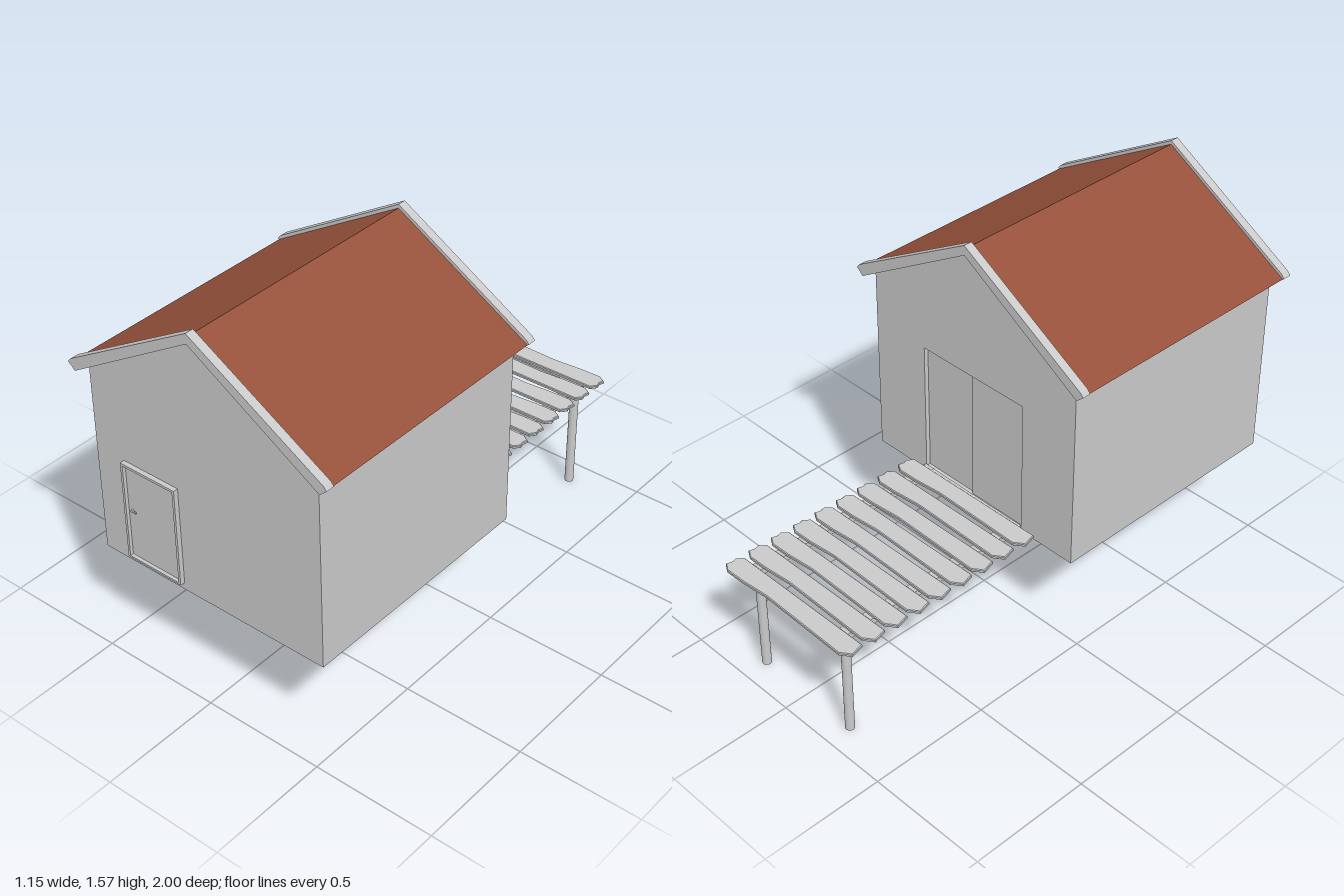
import * as THREE from 'three';

export function createModel() {
  const model = new THREE.Group();
  const grey = new THREE.MeshStandardMaterial({ color: 0xc9c9c9 });
  grey.name = 'light grey';
  const red = new THREE.MeshStandardMaterial({ color: 0x96513b });
  red.name = 'roof red';

  const add = (name, geometry, material = grey, parent = model) => {
    const mesh = new THREE.Mesh(geometry, material);
    mesh.name = name;
    parent.add(mesh);
    return mesh;
  };
  // Box given by its minimum and maximum corners
  const box = (name, x0, x1, y0, y1, z0, z1, parent = model) => {
    const g = new THREE.BoxGeometry(x1 - x0, y1 - y0, z1 - z0);
    g.translate((x0 + x1) / 2, (y0 + y1) / 2, (z0 + z1) / 2);
    return add(name, g, grey, parent);
  };
  const outline = (pts) => new THREE.Shape(pts.map(([x, y]) => new THREE.Vector2(x, y)));
  const slab = (shape, z0, z1) =>
    new THREE.ExtrudeGeometry(shape, { depth: z1 - z0, bevelEnabled: false }).translate(0, 0, z0);
  // Mirrors the right half of a gable profile (listed from apex outwards and back)
  const gable = (half) => outline([
    ...half, ...half.slice(1, -1).reverse().map(([x, y]) => [-x, y]),
  ]);
  const rect = (x0, x1, y0, y1) => outline([[x0, y0], [x1, y0], [x1, y1], [x0, y1]]);

  // House body; the rear skin has an opening for the sliding doors
  const wall = () => outline([[-0.51, 0.44], [0.51, 0.44], [0.51, 1.221], [0, 1.53], [-0.51, 1.221]]);
  add('houseBody', slab(wall(), -0.035, 0.965));
  const rear = wall();
  rear.holes.push(rect(-0.256, 0.253, 0.46, 1.005));
  add('rearWall', slab(rear, -0.06, -0.035));

  // Sliding doors set into the rear opening, one ahead of the other
  box('slidingDoorFixed', 0, 0.253, 0.46, 1.005, -0.042, -0.035);
  box('slidingDoorMoving', -0.256, 0.008, 0.46, 1.005, -0.052, -0.035);

  // Roof structure with a thin red covering
  add('roofDeck', slab(gable([[0, 1.548], [0.56, 1.218], [0.545, 1.2], [0, 1.53]]), -0.065, 0.967));
  add('roofCovering', slab(
    gable([[0, 1.555], [0.567, 1.222], [0.562, 1.217], [0, 1.548]]), -0.065, 0.967), red);

  // Barge boards on both gables
  const board = () => gable([[0, 1.57], [0.56, 1.241], [0.573, 1.226], [0.543, 1.199], [0, 1.53]]);
  add('frontBargeBoard', slab(board(), 0.965, 1));
  add('rearBargeBoard', slab(board(), -0.095, -0.06));

  // Front door with frame and lever handle
  const door = new THREE.Group();
  door.name = 'frontDoor';
  model.add(door);
  const frame = rect(-0.38, -0.125, 0.469, 0.88);
  frame.holes.push(rect(-0.37, -0.135, 0.477, 0.87));
  add('doorFrame', slab(frame, 0.965, 0.984), grey, door);
  box('doorPanel', -0.368, -0.137, 0.479, 0.868, 0.965, 0.972, door);
  const knob = new THREE.CylinderGeometry(0.005, 0.005, 0.012, 12).rotateX(Math.PI / 2);
  add('handleRose', knob, grey, door).position.set(-0.347, 0.684, 0.976);
  box('handleLever', -0.35, -0.327, 0.681, 0.687, 0.977, 0.982, door);

  // Deck frame and posts
  const deck = new THREE.Group();
  deck.name = 'deck';
  model.add(deck);
  for (const s of [-1, 1]) {
    const x = s * 0.235;
    box('deckJoist', x - 0.022, x + 0.022, 0.44, 0.467, -0.93, -0.06, deck);
    const post = new THREE.CylinderGeometry(0.018, 0.018, 0.442, 24);
    add('deckPost', post, grey, deck).position.set(x, 0.221, -0.896);
  }
  box('deckLedger', -0.215, 0.215, 0.44, 0.466, -0.085, -0.06, deck);
  box('deckEndBeam', -0.215, 0.215, 0.44, 0.466, -0.93, -0.905, deck);

  // Rough-hewn planks, all of one outline (second value points to the rear)
  const plank = outline([
    [-0.34, -0.045], [0.295, -0.04], [0.315, -0.015], [0.31, 0.005], [0.317, 0.028],
    [0.285, 0.047], [0.2, 0.045], [0.08, 0.034], [-0.315, 0.041], [-0.355, 0.012],
  ]);
  const plankGeometry = new THREE.ExtrudeGeometry(plank, {
    depth: 0.008, bevelEnabled: true, bevelThickness: 0.003, bevelSize: 0.003,
    bevelOffset: -0.003, bevelSegments: 1,
  }).rotateX(-Math.PI / 2);
  for (let i = 0; i < 9; i++) {
    add('deckPlank', plankGeometry, grey, deck).position.set(0, 0.469, -0.951 + i * 0.1035);
  }
  return model;
}
